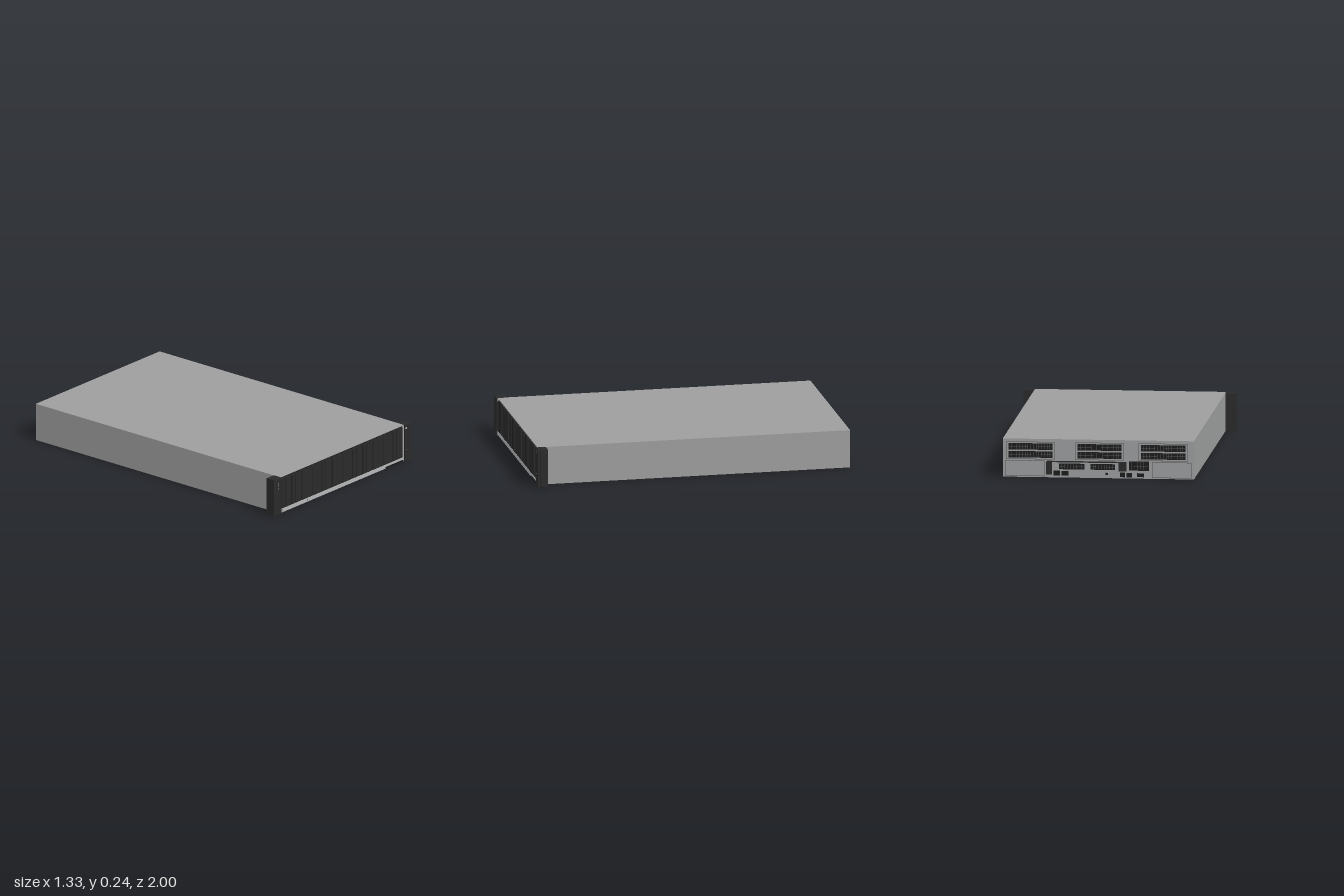
import * as THREE from 'three';

const mat = (name, color) => Object.assign(new THREE.MeshStandardMaterial({ color }), { name });

export function createModel() {
  const steel = mat('steel grey', 0x9d9e9f);
  const silver = mat('light silver', 0xb4b5b6);
  const charcoal = mat('charcoal', 0x2a2a2a);
  const black = mat('black', 0x1a1a1a);
  const seam = mat('seam grey', 0x5a5b5c);
  const white = mat('indicator white', 0xe0e0e0);

  const model = new THREE.Group();
  model.name = 'rackServer';

  // Box given by its limits on each axis
  function box(name, material, x0, x1, y0, y1, z0, z1, parent = model) {
    const mesh = new THREE.Mesh(new THREE.BoxGeometry(x1 - x0, y1 - y0, z1 - z0), material);
    mesh.position.set((x0 + x1) / 2, (y0 + y1) / 2, (z0 + z1) / 2);
    mesh.name = name;
    parent.add(mesh);
    return mesh;
  }
  function group(name) {
    const g = new THREE.Group();
    g.name = name;
    model.add(g);
    return g;
  }

  // Chassis
  box('chassis', steel, -0.596, 0.596, 0, 0.24, -0.992, 0.978);
  box('frontSill', silver, -0.59, 0.59, 0.001, 0.024, 0.978, 0.99);
  box('frontTopLip', steel, -0.596, 0.596, 0.236, 0.24, 0.978, 0.99);
  for (const s of [-1, 1]) {
    const cheek = box('frontCheek', silver, -0.002, 0.002, 0.001, 0.238, 0.978, 0.993);
    cheek.position.x = s * 0.59;
  }
  for (const x of [-0.575, -0.336]) {
    box('sillSeam', seam, x - 0.0015, x + 0.0015, 0.006, 0.024, 0.99, 0.991);
  }
  box('pullTag', black, 0.42, 0.587, 0.004, 0.011, 0.99, 0.996);

  // Front drive bays: carrier, latch and grip on a black backing
  const bays = group('driveBays');
  box('bayBacking', black, -0.588, 0.588, 0.024, 0.236, 0.978, 0.983, bays);
  const count = 12, pitch = 1.172 / count;
  for (let i = 0; i < count; i++) {
    const x = -0.586 + i * pitch;
    box('driveCarrier', charcoal, x + 0.002, x + pitch - 0.002, 0.027, 0.226, 0.982, 0.99, bays);
    box('driveLatch', charcoal, x + 0.004, x + 0.032, 0.032, 0.222, 0.99, 0.995, bays);
    box('driveGroove', black, x + 0.035, x + 0.039, 0.032, 0.222, 0.99, 0.991, bays);
  }

  // Rack ears
  for (const s of [-1, 1]) {
    const ear = group(s > 0 ? 'leftRackEar' : 'rightRackEar');
    const span = (a, b) => (s > 0 ? [a, b] : [-b, -a]);
    box('earBody', charcoal, ...span(0.592, 0.662), 0.002, 0.24, 0.937, 0.985, ear);
    box('earCover', charcoal, ...span(0.593, 0.664), 0.001, 0.24, 0.987, 1, ear);
    box('earSeam', black, ...span(0.594, 0.66), 0.004, 0.238, 0.985, 0.987, ear);
  }
  for (let i = 0; i < 5; i++) {
    const y = 0.166 + i * 0.011;
    box('statusLight', white, -0.622, -0.618, y - 0.002, y + 0.002, 0.999, 1.0005);
  }
  box('powerButton', white, 0.601, 0.613, 0.212, 0.224, 0.999, 1.0005);
  box('powerButtonCentre', charcoal, 0.604, 0.61, 0.215, 0.221, 1, 1.001);
  box('portMark', white, 0.603, 0.607, 0.073, 0.077, 0.999, 1.0005);

  // Thin plate on the rear face
  const rear = group('rearPanel');
  const plate = (name, m, x0, x1, y0, y1, d = 0.002) =>
    box(name, m, x0, x1, y0, y1, -0.992 - d, -0.991, rear);
  // Thin rectangular outline on the rear face
  function outline(name, x0, x1, y0, y1) {
    const t = 0.003;
    plate(name, seam, x0, x1, y0, y0 + t);
    plate(name, seam, x0, x1, y1 - t, y1);
    plate(name, seam, x0, x0 + t, y0, y1);
    plate(name, seam, x1 - t, x1, y0, y1);
  }
  // Dark vent crossed by fine ribs
  function vent(x0, x1, y0, y1, ribs) {
    plate('vent', black, x0, x1, y0, y1);
    for (let i = 1; i < ribs; i++) {
      const x = x0 + (x1 - x0) * i / ribs;
      plate('ventRib', seam, x - 0.0012, x + 0.0012, y0 + 0.004, y1 - 0.004, 0.003);
    }
    const y = (y0 + y1) / 2;
    plate('ventRib', seam, x0 + 0.004, x1 - 0.004, y - 0.001, y + 0.001, 0.003);
  }

  // Three expansion risers with two vents each
  for (const [x0, x1] of [[0.285, 0.56], [-0.145, 0.13], [-0.545, -0.265]]) {
    vent(x0, x1, 0.172, 0.212, 16);
    vent(x0, x1, 0.122, 0.162, 16);
    outline('riserSeam', x0 - 0.015, x1 + 0.015, 0.112, 0.222);
  }

  // Power supply bays at both ends
  outline('powerSupplySeam', 0.335, 0.582, 0.006, 0.105);
  outline('powerSupplySeam', -0.582, -0.335, 0.006, 0.105);

  // Central module: handle rail, end latches, small vents
  plate('moduleRail', charcoal, -0.14, 0.32, 0.096, 0.104, 0.006);
  plate('moduleLatch', charcoal, 0.288, 0.325, 0.018, 0.1, 0.008);
  plate('moduleLatch', charcoal, -0.175, -0.125, 0.045, 0.104, 0.008);
  vent(0.085, 0.245, 0.052, 0.088, 9);
  vent(-0.105, 0.05, 0.052, 0.088, 9);
  vent(-0.315, -0.19, 0.05, 0.108, 7);

  // Ports along the bottom edge
  for (const [x0, x1, y0, y1] of [[0.24, 0.28, 0.012, 0.042], [0.185, 0.23, 0.012, 0.042],
    [-0.06, -0.045, 0.02, 0.034], [-0.165, -0.135, 0.008, 0.036],
    [-0.21, -0.175, 0.008, 0.036], [-0.285, -0.24, 0.01, 0.034]]) {
    plate('port', black, x0, x1, y0, y1, 0.004);
  }
  return model;
}
